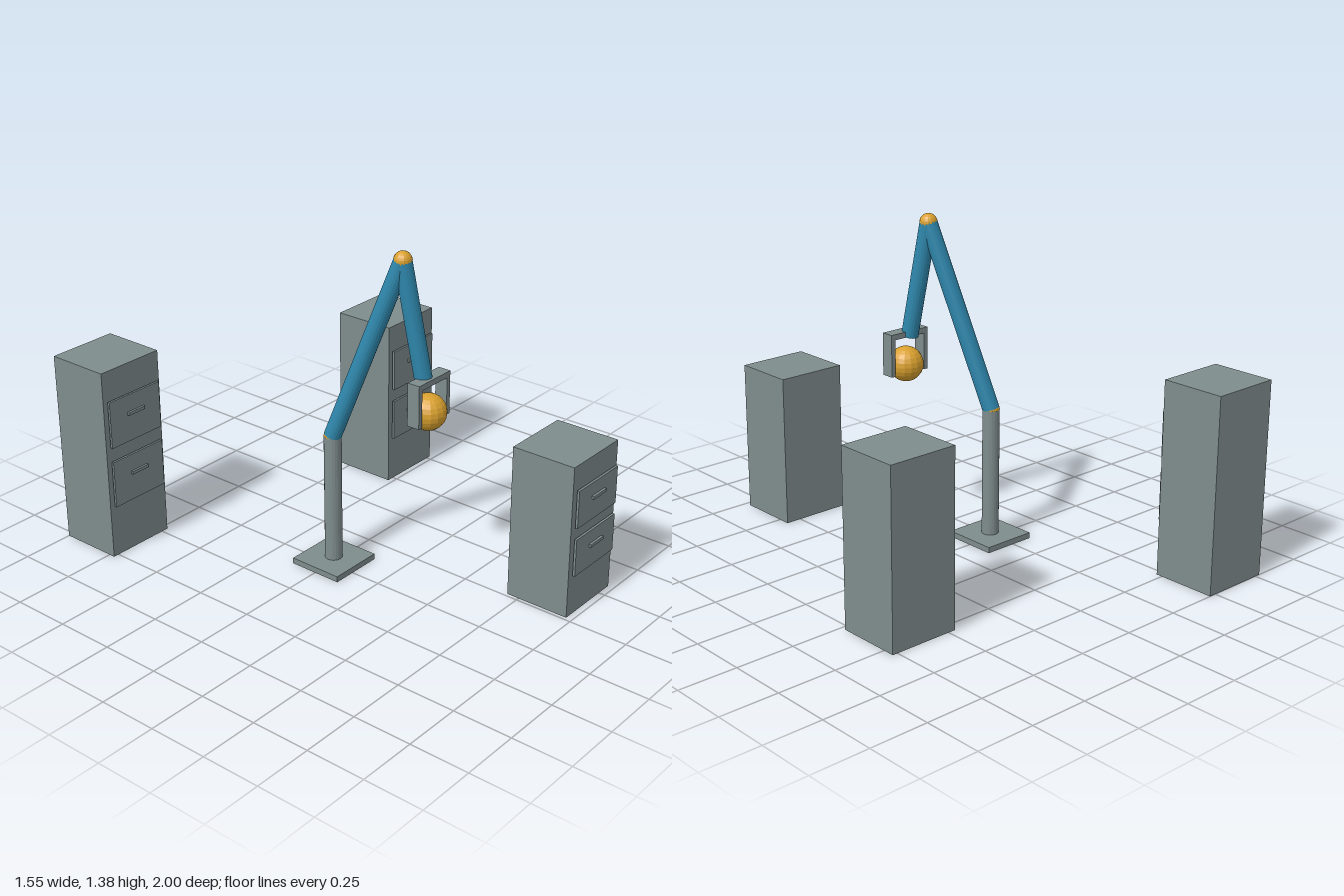
import * as THREE from 'three';

const mat = (name, color, flatShading = false) => {
  const m = new THREE.MeshStandardMaterial({ color, flatShading });
  m.name = name;
  return m;
};

export function createModel() {
  const steel = mat('steel grey', 0x7f8c8d, true);
  const blue = mat('arm blue', 0x2e86ab, true);
  const amber = mat('amber', 0xd9a02e, true);
  const model = new THREE.Group();
  model.name = 'robotArmAndCabinets';

  const add = (parent, name, geometry, material, x, y, z) => {
    const mesh = new THREE.Mesh(geometry, material);
    mesh.name = name;
    mesh.position.set(x, y, z);
    parent.add(mesh);
    return mesh;
  };
  const box = (parent, name, w, h, d, x, y, z) =>
    add(parent, name, new THREE.BoxGeometry(w, h, d), steel, x, y, z);

  // Two-drawer cabinets; drawer sizes scale with the cabinet height
  const cabinet = (name, x, front, h) => {
    const g = new THREE.Group();
    g.name = name;
    g.position.set(x, 0, front);
    box(g, 'cabinetBody', 0.305, h, 0.277, 0, h / 2, -0.1385);
    for (const f of [0.402, 0.723]) {
      box(g, 'drawerFront', 0.27, 0.246 * h, 0.01, 0, f * h, 0.012);
      box(g, 'drawerHandle', 0.088, 0.013, 0.01, 0, (f + 0.026) * h, 0.022);
    }
    model.add(g);
  };
  cabinet('backRightCabinet', -0.622, -0.723, 0.825);
  cabinet('backLeftCabinet', 0.62, -0.272, 0.738);
  cabinet('frontCabinet', 0.167, 0.973, 0.652);

  // Arm joints
  const R = 0.036;
  const foot = new THREE.Vector3(-0.228, 0.025, 0);
  const shoulder = new THREE.Vector3(-0.228, 0.575, 0);
  const elbow = new THREE.Vector3(-0.11, 1.338, 0.253);
  const wrist = new THREE.Vector3(-0.073, 0.849, 0.332);

  const limb = (name, a, b, material) => {
    const dir = b.clone().sub(a);
    const mid = a.clone().add(b).multiplyScalar(0.5);
    const mesh = add(model, name, new THREE.CylinderGeometry(R, R, dir.length(), 20), material, mid.x, mid.y, mid.z);
    mesh.quaternion.setFromUnitVectors(new THREE.Vector3(0, 1, 0), dir.normalize());
  };
  const ball = (name, r, p) =>
    add(model, name, new THREE.SphereGeometry(r, 16, 12), amber, p.x, p.y, p.z);

  box(model, 'basePlate', 0.236, 0.025, 0.236, -0.228, 0.0125, 0);
  limb('post', foot, shoulder, steel);
  limb('lowerArm', shoulder, elbow, blue);
  limb('upperArm', elbow, wrist, blue);
  ball('shoulderJoint', R, shoulder);
  ball('elbowJoint', 0.037, elbow);

  // Gripper holding a ball
  const gripper = new THREE.Group();
  gripper.name = 'gripper';
  gripper.position.set(-0.063, 0, 0.349);
  box(gripper, 'gripperBar', 0.196, 0.024, 0.056, 0, 0.86, 0);
  for (const s of [-1, 1]) box(gripper, 'gripperFinger', 0.02, 0.158, 0.056, s * 0.088, 0.769, 0);
  model.add(gripper);
  ball('heldBall', 0.075, new THREE.Vector3(-0.065, 0.725, 0.349));

  return model;
}
